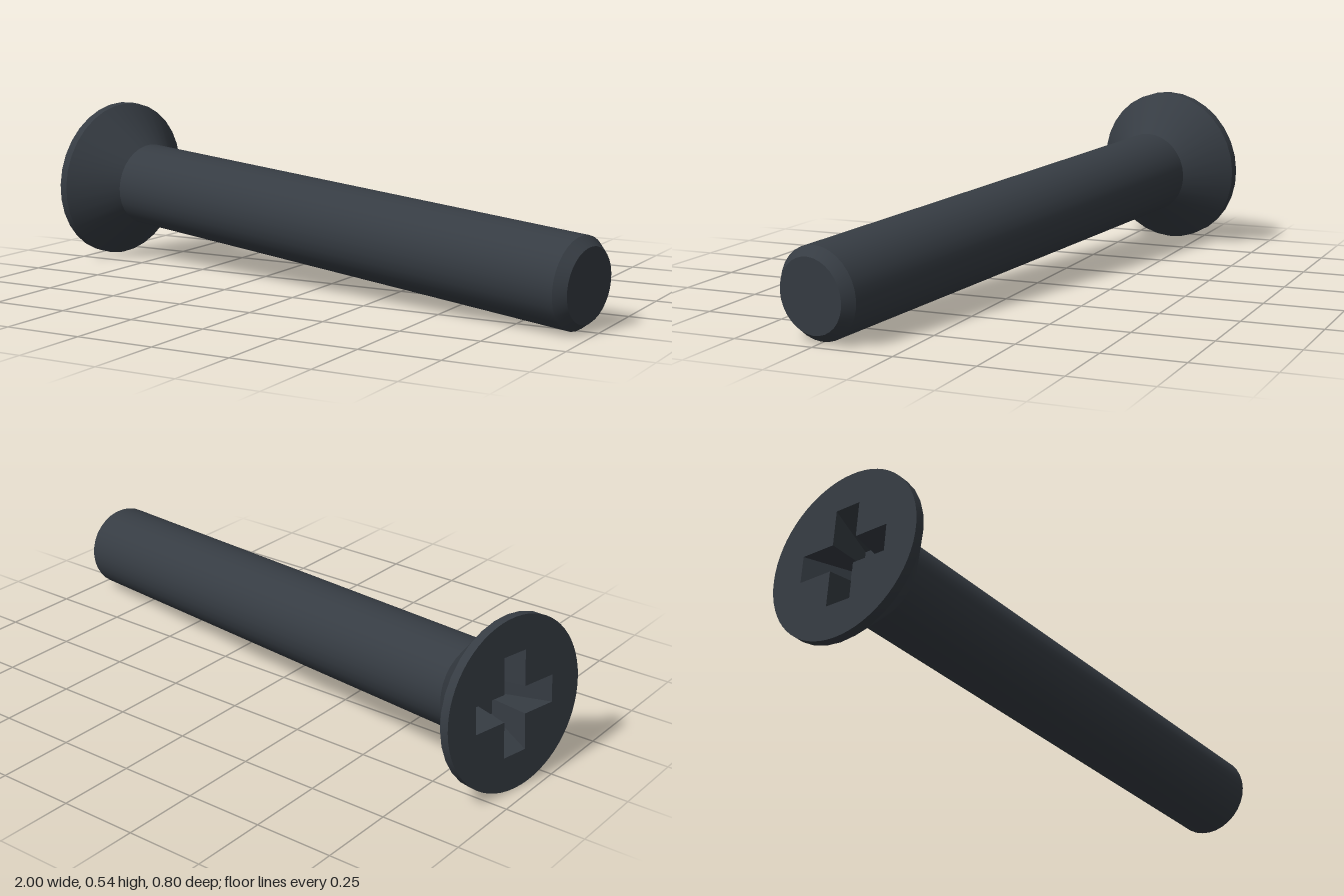
import * as THREE from 'three';
import { toCreasedNormals } from 'three/addons/utils/BufferGeometryUtils.js';

const SIDES = 32;
const HEAD_R = 0.267, SHAFT_R = 0.139, TIP_R = 0.113;
const LENGTH = 1.964, RECESS_DEPTH = 0.12;

// Counter-clockwise plus-shaped outline: arm half length l, half width w
function crossOutline(l, w) {
  const pts = [];
  for (let i = 0; i < 4; i++) {
    const a = (i * Math.PI) / 2;
    for (const [x, y] of [[l, -w], [l, w], [w, w]]) {
      pts.push(new THREE.Vector2(x, y).rotateAround(new THREE.Vector2(), a));
    }
  }
  return pts;
}

// Inward-facing walls between the recess mouth and its smaller floor
function recessWalls(top, bottom, depth) {
  const pos = [];
  top.forEach((a, i) => {
    const j = (i + 1) % top.length;
    const b = top[j], c = bottom[i], d = bottom[j];
    pos.push(a.x, a.y, 0, b.x, b.y, 0, c.x, c.y, -depth);
    pos.push(b.x, b.y, 0, d.x, d.y, -depth, c.x, c.y, -depth);
  });
  const g = new THREE.BufferGeometry();
  g.setAttribute('position', new THREE.Float32BufferAttribute(pos, 3));
  g.computeVertexNormals();
  return g;
}

export function createModel() {
  const group = new THREE.Group();
  group.name = 'countersunkScrew';
  const steel = new THREE.MeshStandardMaterial({ color: 0x363c43 });
  steel.name = 'darkSteel';

  const add = (name, geometry) => {
    const mesh = new THREE.Mesh(geometry, steel);
    mesh.name = name;
    group.add(mesh);
  };
  const lathe = (name, profile) => {
    const pts = profile.map(([r, y]) => new THREE.Vector2(r, y));
    add(name, toCreasedNormals(new THREE.LatheGeometry(pts, SIDES), 0.4));
  };

  // Turned parts, local y running from the head face to the tip
  lathe('head', [[HEAD_R, 0], [HEAD_R, 0.03], [SHAFT_R, 0.158]]);
  lathe('shaft', [[SHAFT_R, 0.158], [SHAFT_R, LENGTH - 0.032], [TIP_R, LENGTH], [0, LENGTH]]);

  // Head face with a cross-shaped opening
  const mouth = crossOutline(0.156, 0.043);
  const floor = crossOutline(0.08, 0.032);
  const face = new THREE.Shape().absarc(0, 0, HEAD_R, 0, Math.PI * 2, false);
  face.holes.push(new THREE.Path(mouth));
  add('headFace', new THREE.ShapeGeometry(face, SIDES).rotateX(Math.PI / 2));

  // Tapered driver recess
  add('recessWalls', recessWalls(mouth, floor, RECESS_DEPTH).rotateX(Math.PI / 2));
  add('recessFloor', new THREE.ShapeGeometry(new THREE.Shape(floor))
    .translate(0, 0, -RECESS_DEPTH).rotateX(Math.PI / 2));

  // Resting pose: axis leans down and towards the front
  const axis = new THREE.Vector3(1, -0.0694, 0.211).normalize();
  const up = new THREE.Vector3(0, 1, 0).addScaledVector(axis, -axis.y).normalize();
  const side = new THREE.Vector3().crossVectors(axis, up);
  group.quaternion.setFromRotationMatrix(new THREE.Matrix4().makeBasis(side, axis, up));
  group.position.set(-0.942, 0.269, -0.138);

  const model = new THREE.Group();
  model.name = 'screw';
  model.add(group);
  return model;
}
